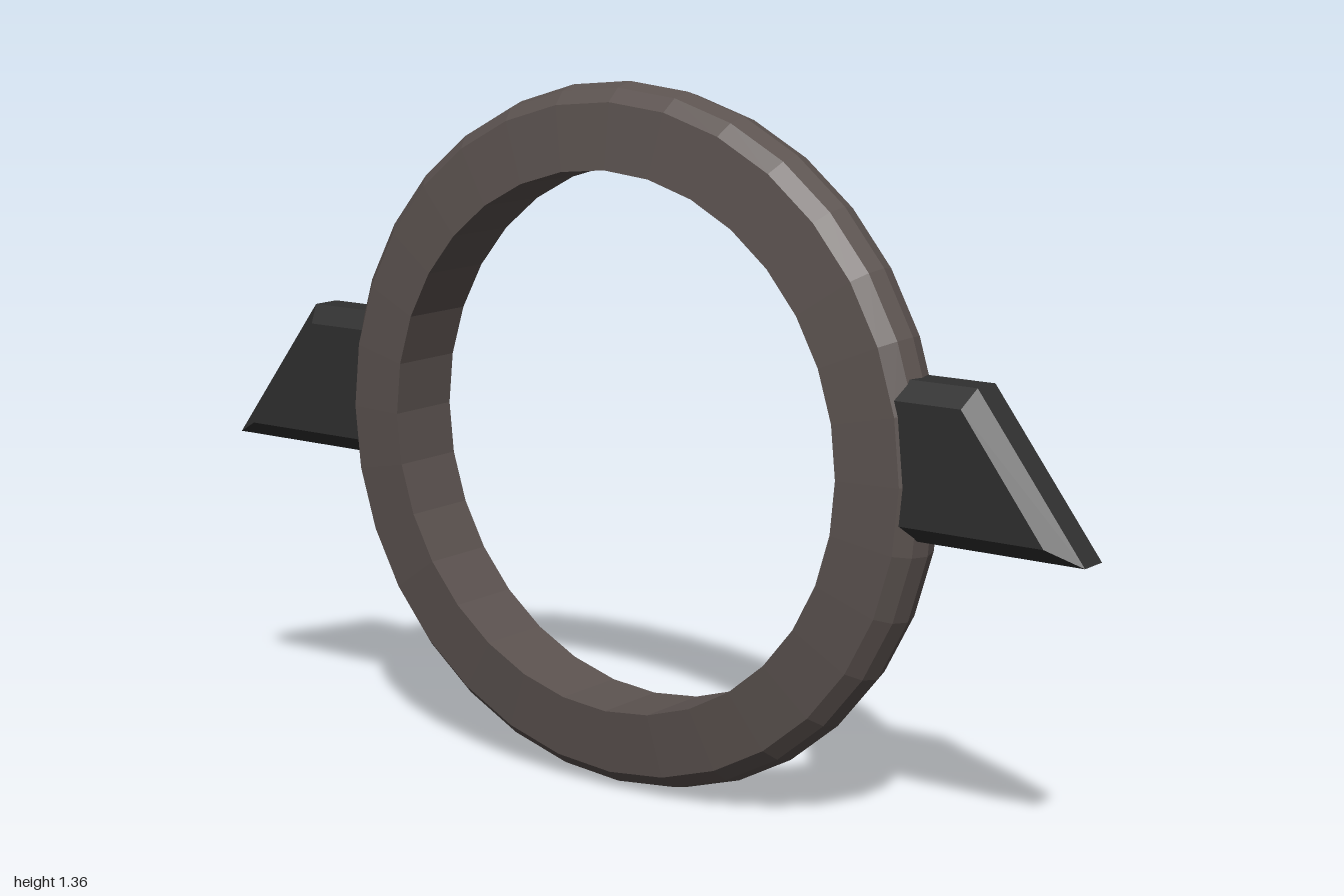
import * as THREE from 'three';
import { ConvexGeometry } from 'three/addons/geometries/ConvexGeometry.js';

const CENTER_Y = 0.68;

// Faceted ring: a closed profile (radius, depth) turned about the z axis
function createRing(material) {
  const profile = [
    [0.52, -0.08], [0.645, -0.065], [0.67, -0.037], [0.68, 0],
    [0.67, 0.037], [0.645, 0.065], [0.52, 0.08], [0.52, -0.08],
  ].map(([r, d]) => new THREE.Vector2(r, d));
  const geometry = new THREE.LatheGeometry(profile, 32);
  geometry.rotateX(Math.PI / 2);
  const ring = new THREE.Mesh(geometry, material);
  ring.position.y = CENTER_Y;
  ring.name = 'ring';
  return ring;
}

// Bevelled fin: wide outline near the middle, inset outline on both faces
function createFin(side, material) {
  const rim = [[0.6, 0.58], [1, 0.58], [0.78, 0.87], [0.6, 0.87]];
  const face = [[0.6, 0.61], [0.935, 0.61], [0.765, 0.835], [0.6, 0.835]];
  const points = [];
  for (const [outline, depth] of [[rim, 0.03], [face, 0.06]]) {
    for (const [x, y] of outline) {
      for (const z of [-depth, depth]) points.push(new THREE.Vector3(side * x, y, z));
    }
  }
  const fin = new THREE.Mesh(new ConvexGeometry(points), material);
  fin.name = side > 0 ? 'leftFin' : 'rightFin';
  return fin;
}

export function createModel() {
  const ringMaterial = new THREE.MeshStandardMaterial({ color: 0x5c5350, flatShading: true });
  const finMaterial = new THREE.MeshStandardMaterial({ color: 0x303030, flatShading: true });
  const model = new THREE.Group();
  model.name = 'finnedRing';
  model.add(createRing(ringMaterial));
  for (const side of [-1, 1]) model.add(createFin(side, finMaterial));
  return model;
}
